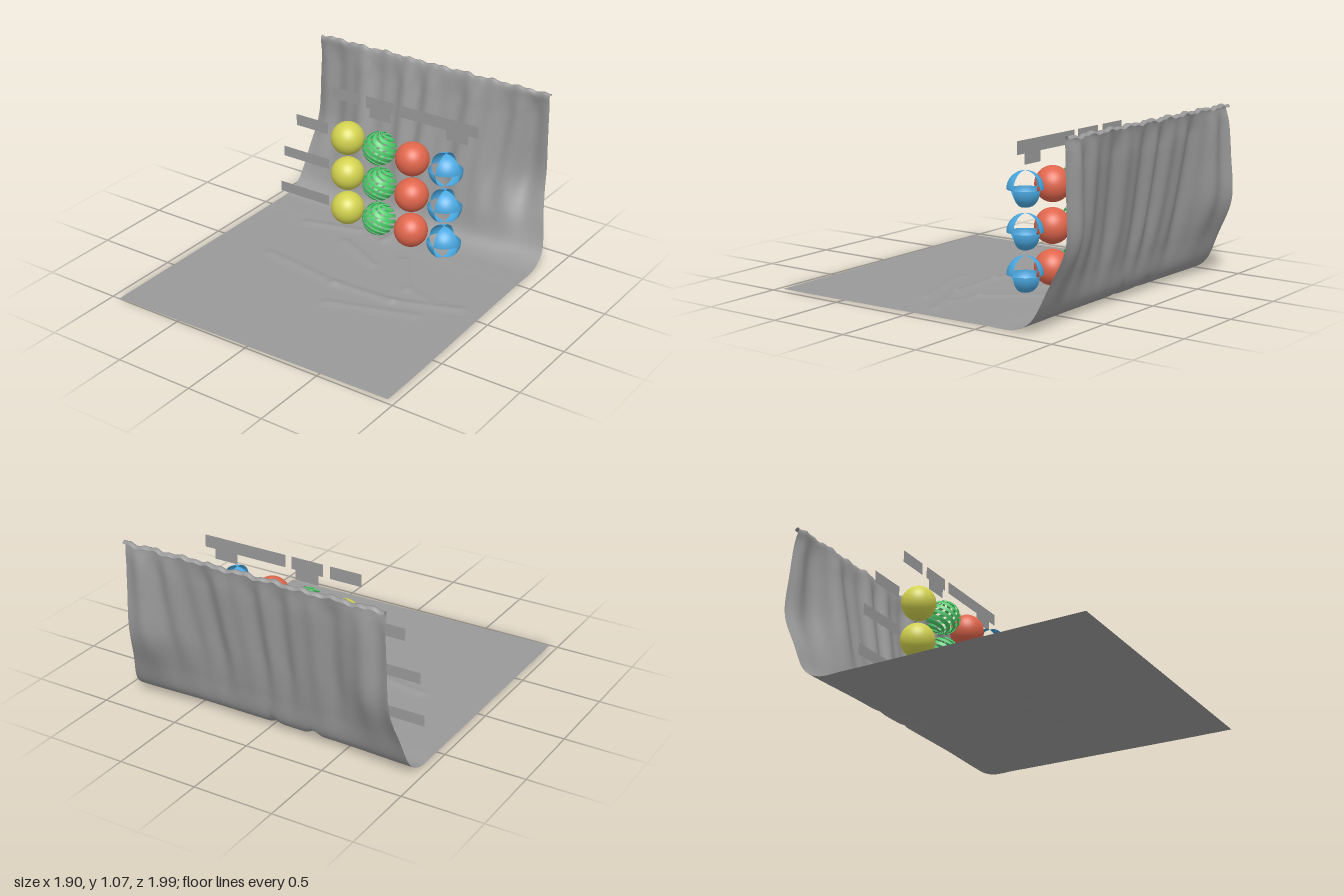
import * as THREE from 'three';
import { mergeGeometries } from 'three/addons/utils/BufferGeometryUtils.js';

const R = 0.106;

function material(name, color, side = THREE.FrontSide) {
  const m = new THREE.MeshStandardMaterial({ color, side });
  m.name = name;
  return m;
}

function profile(points) {
  return new THREE.CatmullRomCurve3(points.map(([z, y]) => new THREE.Vector3(0, y, z)), false, 'centripetal');
}

// Distance from a point to a segment, for the floor wrinkles
function segmentDistance(x, z, [ax, az, bx, bz]) {
  const dx = bx - ax, dz = bz - az;
  const t = THREE.MathUtils.clamp(((x - ax) * dx + (z - az) * dz) / (dx * dx + dz * dz), 0, 1);
  return Math.hypot(x - ax - t * dx, z - az - t * dz);
}

// Floor sheet that sweeps up into a pleated back curtain
function backdropGeometry() {
  const floor = [[0.98, 0.003], [0.3, 0.003], [-0.5, 0.003]];
  const hem = [[-0.955, 1.055], [-0.968, 1.068], [-0.985, 1.05]];
  const middle = profile([...floor, [-0.7, 0.012], [-0.775, 0.07], [-0.82, 0.25], [-0.875, 0.55], [-0.925, 0.85], ...hem]);
  const edge = profile([...floor, [-0.7, 0.01], [-0.8, 0.07], [-0.89, 0.26], [-0.975, 0.48], [-0.975, 0.75], [-0.965, 0.98], ...hem]);
  const wrinkles = [
    [-0.55, 0.04, 0.0, 0.12, 0.010], [0.0, 0.12, 0.4, 0.1, 0.012], [0.4, 0.1, 0.78, -0.05, 0.010],
    [0.08, 0.33, 0.6, 0.16, 0.008], [-0.6, -0.42, -0.25, -0.52, 0.010], [-0.25, -0.35, 0.06, -0.2, 0.012],
    [0.18, -0.36, 0.4, -0.07, 0.010], [0.4, -0.07, 0.6, -0.03, 0.006], [-0.3, -0.75, -0.2, -0.62, 0.025],
    [-0.03, -0.78, -0.05, -0.5, 0.018],
  ];
  const g = new THREE.PlaneGeometry(2, 1, 150, 160);
  const p = g.attributes.position;
  const a = new THREE.Vector3(), b = new THREE.Vector3();
  const { smoothstep } = THREE.MathUtils;
  for (let i = 0; i < p.count; i++) {
    const u = p.getX(i), v = THREE.MathUtils.clamp(p.getY(i) + 0.5, 0, 1);
    middle.getPointAt(v, a);
    edge.getPointAt(v, b);
    a.lerp(b, smoothstep(Math.abs(u), 0.45, 1));
    let { y, z } = a;
    const left = -0.95 + 0.08 * y / 1.07;
    const right = 0.95 - 0.04 * smoothstep(-z, -1, 0.75) - 0.09 * smoothstep(y, 0, 0.5);
    const x = THREE.MathUtils.lerp(left, right, (u + 1) / 2);
    // Hanging pleats lean slightly with height
    const s = u + 0.1 * (1 - y) * Math.sin(u * 3);
    const fold = 0.5 * Math.sin(s * 19 + 0.8 * Math.sin(s * 7)) + 0.35 * Math.sin(s * 33 + 1.3) + 0.25 * Math.sin(s * 11 + 2);
    const hang = smoothstep(y, 0.05, 0.55) * (1 - 0.75 * smoothstep(y, 0.9, 1.06));
    z += 0.024 * fold * hang;
    // Uneven gathered top hem
    y += smoothstep(y, 0.95, 1.06) * (0.005 * Math.sin(u * 27) + 0.004 * Math.sin(u * 61 + 1));
    // Low wrinkles across the floor
    for (const w of wrinkles) {
      const d = segmentDistance(x, z, w) / 0.03;
      y += w[4] * Math.exp(-d * d) * (1 - smoothstep(y, 0.03, 0.3));
    }
    // Front edge is slightly skewed
    z += smoothstep(z, 0.5, 0.98) * (0.002 - 0.015 * u);
    p.setXYZ(i, x, Math.max(y, 0), Math.max(z, -1));
  }
  g.computeVertexNormals();
  return g;
}

// Open ball of eight ribbons twisted about the vertical axis
function spiralBallGeometry() {
  const ribbons = [];
  const step = Math.PI / 4;
  for (let i = 0; i < 8; i++) ribbons.push(new THREE.SphereGeometry(R, 5, 36, i * step, step * 0.62));
  const g = mergeGeometries(ribbons);
  const p = g.attributes.position, n = g.attributes.normal;
  const v = new THREE.Vector3(), up = new THREE.Vector3(0, 1, 0);
  for (let i = 0; i < p.count; i++) {
    v.fromBufferAttribute(p, i);
    v.applyAxisAngle(up, -2.1 * v.y / R);
    p.setXYZ(i, v.x, v.y, v.z);
    v.normalize();
    n.setXYZ(i, v.x, v.y, v.z);
  }
  return g;
}

// Shell made of alternate eighths of a sphere
function checkerBallGeometry() {
  const q = Math.PI / 2;
  const parts = [[1, 0], [3, 0], [0, 1], [2, 1]].map(([turn, half]) =>
    new THREE.SphereGeometry(R, 12, 12, turn * q, q, half * q, q));
  return mergeGeometries(parts);
}

export function createModel() {
  const model = new THREE.Group();
  model.name = 'ballDisplay';
  const grey = material('clothGrey', 0x999999, THREE.DoubleSide);
  const yellow = material('yellow', 0xd2d250);
  const green = material('green', 0x4ccb6a, THREE.DoubleSide);
  const red = material('red', 0xe0664c);
  const blue = material('blue', 0x4aa8e0, THREE.DoubleSide);

  function add(name, geometry, mat, x = 0, y = 0, z = 0) {
    const mesh = new THREE.Mesh(geometry, mat);
    mesh.name = name;
    mesh.position.set(x, y, z);
    model.add(mesh);
    return mesh;
  }

  add('clothBackdrop', backdropGeometry(), grey);

  // Four columns of three balls, the row turned slightly
  const solid = new THREE.SphereGeometry(R, 40, 28);
  const columns = [
    ['yellowBall', solid, yellow, -0.313, 0.667, -0.464],
    ['spiralBall', spiralBallGeometry(), green, -0.064, 0.67, -0.449],
    ['redBall', solid, red, 0.184, 0.672, -0.434],
    ['checkerBall', checkerBallGeometry(), blue, 0.432, 0.676, -0.42],
  ];
  for (const [name, geometry, mat, x, y, z] of columns) {
    for (let row = 0; row < 3; row++) {
      add(name, geometry, mat, x, y - row * 0.244, z).rotation.y = -0.06;
    }
  }

  // Blank label plates: left, right, bottom, top
  const plates = [
    [-0.446, -0.242, 0.895, 0.972],
    [-0.196, 0.012, 0.895, 0.972], [-0.168, -0.013, 0.833, 0.895],
    [0.051, 0.604, 0.895, 0.972], [0.383, 0.536, 0.833, 0.895],
    [-0.727, -0.482, 0.637, 0.713],
    [-0.829, -0.477, 0.394, 0.463],
    [-0.86, -0.477, 0.133, 0.202],
  ];
  for (const [l, r, b, t] of plates) {
    add('labelPlate', new THREE.PlaneGeometry(r - l, t - b), grey, (l + r) / 2, (b + t) / 2, -0.49);
  }
  return model;
}
